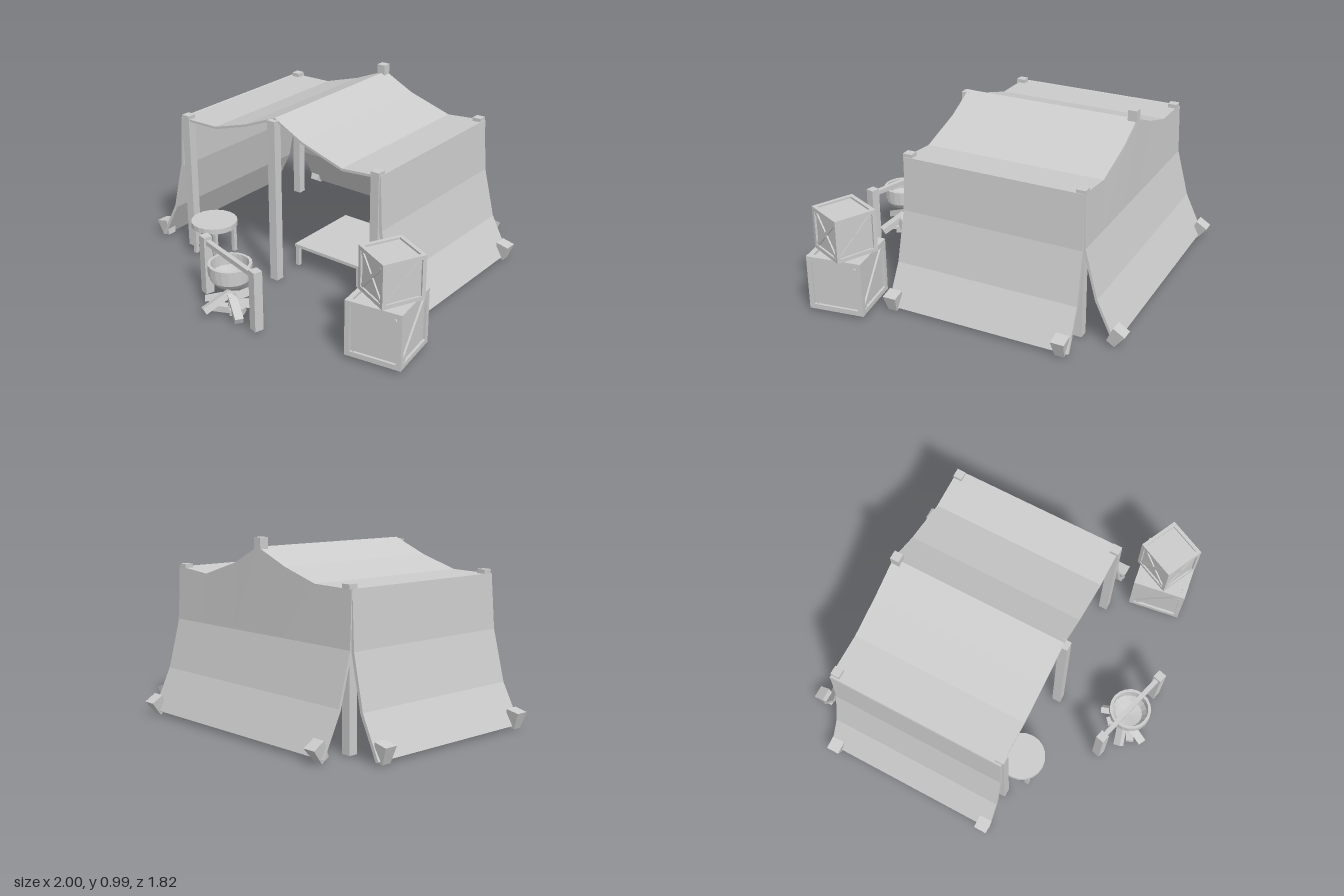
import * as THREE from 'three';

const mat = new THREE.MeshStandardMaterial({ color: 0xcccccc, flatShading: true, side: THREE.DoubleSide });

function add(parent, name, geo, x = 0, y = 0, z = 0) {
  const m = new THREE.Mesh(geo, mat);
  m.name = name;
  m.position.set(x, y, z);
  parent.add(m);
  return m;
}
const box = (parent, name, w, h, d, x, y, z) => add(parent, name, new THREE.BoxGeometry(w, h, d), x, y, z);

function group(parent, name, x = 0, y = 0, z = 0, ry = 0) {
  const g = new THREE.Group();
  g.name = name;
  g.position.set(x, y, z);
  g.rotation.y = ry;
  parent.add(g);
  return g;
}

// Thick cloth strip: a polyline, its offset copy, extruded
function cloth(points, dx, dy, depth, steps = 1) {
  const inner = points.map(([x, y]) => [x + dx, y + dy]).reverse();
  const shape = new THREE.Shape([...points, ...inner].map(p => new THREE.Vector2(...p)));
  return new THREE.ExtrudeGeometry(shape, { depth, steps, bevelEnabled: false });
}

function moveVertices(geo, rule) {
  const p = geo.attributes.position, v = new THREE.Vector3();
  for (let i = 0; i < p.count; i++) {
    v.fromBufferAttribute(p, i);
    rule(v);
    p.setXYZ(i, v.x, v.y, v.z);
  }
  geo.computeVertexNormals();
  return geo;
}

const ROOF = [[-0.77, 0.797], [-0.51, 0.802], [-0.29, 0.867], [-0.08, 0.952], [0.1, 0.862], [0.36, 0.782], [0.6, 0.803]];
const MID = -0.085;   // tent centre in x
const ZC = -0.18;     // tent centre in z

function buildTent(root) {
  const tent = group(root, 'tent');
  add(tent, 'roofCloth', cloth(ROOF, 0, -0.014, 1, 1), 0, 0, ZC - 0.5);

  // Side walls flare outward and widen slightly toward the ground
  for (const s of [-1, 1]) {
    const wall = [[0.685, 0.8], [0.703, 0.51], [0.768, 0.235], [0.875, 0.025]].map(([x, y]) => [MID + s * x, y]);
    const geo = moveVertices(cloth(wall, -s * 0.016, -0.008, 1), v => {
      v.z = (v.z - 0.5) * (1 + 0.035 * (1 - v.y / 0.8));
    });
    add(tent, s < 0 ? 'rightWall' : 'leftWall', geo, 0, 0, ZC);
  }

  // Back wall: its top edge follows the sagging roof
  const back = cloth([[-0.685, 0.8], [-0.695, 0.515], [-0.765, 0.25], [-0.87, 0.03]], 0.012, -0.008, 6, 6);
  back.rotateY(-Math.PI / 2);
  moveVertices(back, v => {
    const [x, top] = ROOF[6 - Math.round(-v.x)];
    v.x = x;
    if (v.y > 0.7) v.y += top - 0.802;
  });
  add(tent, 'backWall', back);

  // Poles: x, z, height
  const poles = [[-0.73, 0.305, 0.82], [0.57, 0.305, 0.82], [-0.73, -0.66, 0.82], [0.57, -0.66, 0.82],
    [-0.083, 0.325, 0.942], [-0.083, -0.66, 1.0]];
  for (const [x, z, h] of poles) box(tent, 'pole', 0.05, h - 0.01, 0.05, x, (h + 0.01) / 2, z);

  // Tapered pegs leaning away from the cloth: x, z, outward direction
  const pegs = [[-0.955, 0.305, -1, 0], [-0.955, -0.655, -1, 0], [0.785, 0.305, 1, 0], [0.785, -0.655, 1, 0],
    [-0.735, -0.865, 0, -1], [0.575, -0.865, 0, -1]];
  for (const [x, z, ox, oz] of pegs) {
    const geo = new THREE.CylinderGeometry(0.052, 0.036, 0.092, 4).rotateY(Math.PI / 4);
    const tilt = oz ? 0.55 : 0.22;
    add(tent, 'peg', geo, x, 0.06, z).rotation.set(oz * tilt, 0, -ox * tilt);
  }
}

function buildFurniture(root) {
  // Round stool
  const stool = group(root, 'stool', -0.545, 0, 0.327);
  add(stool, 'stoolSeat', new THREE.CylinderGeometry(0.132, 0.132, 0.03, 20), 0, 0.215, 0);
  // Low table
  const table = group(root, 'table', 0.145, 0, -0.065);
  box(table, 'tableTop', 0.45, 0.018, 0.47, 0, 0.151, 0);
  for (const sx of [-1, 1]) for (const sz of [-1, 1]) {
    box(stool, 'stoolLeg', 0.022, 0.175, 0.022, sx * 0.077, 0.117, sz * 0.077);
    box(table, 'tableLeg', 0.022, 0.115, 0.022, sx * 0.21, 0.087, sz * 0.22);
  }
}

function buildCampfire(root) {
  const fire = group(root, 'campfire', -0.035, 0, 0.745, -0.27);
  for (const s of [-1, 1]) box(fire, 'spitPost', 0.05, 0.335, 0.05, s * 0.24, 0.187, 0);
  box(fire, 'spitBeam', 0.5, 0.026, 0.026, 0, 0.323, 0);

  // Open pot
  const profile = [[0, 0.166], [0.05, 0.168], [0.085, 0.185], [0.106, 0.212], [0.106, 0.238], [0.116, 0.24],
    [0.116, 0.296], [0.1, 0.296], [0.098, 0.235], [0.075, 0.2], [0, 0.185]];
  add(fire, 'pot', new THREE.LatheGeometry(profile.map(p => new THREE.Vector2(...p)), 20));

  // Logs leaning in toward the middle
  const angles = [0.3, 1.85, 2.85, 4.6, 5.6];
  angles.forEach((a, i) => {
    const arm = group(fire, 'logArm', 0, 0, 0, -a);
    const log = box(arm, 'log', 0.17, 0.036, 0.045, 0.075, 0.07 + (i % 2) * 0.012, 0);
    log.rotation.set(i * 0.3, 0, -0.45);
  });
  box(fire, 'baseLog', 0.2, 0.035, 0.045, 0, 0.04, 0.03).rotation.y = 0.7;
  box(fire, 'baseLog', 0.2, 0.035, 0.045, 0, 0.05, -0.02).rotation.y = -0.6;
}

// Framed crate with one diagonal or a cross on its sides
function buildCrate(root, size, x, y, z, ry, crossed) {
  const crate = group(root, 'crate', x, y + size / 2, z, ry);
  const h = size / 2, f = size * 0.09, inset = size * 0.045, span = size - 2 * f;
  box(crate, 'cratePanels', size - 2 * inset, size - 2 * inset, size - 2 * inset, 0, 0, 0);
  const e = h - f / 2;
  for (const a of [-e, e]) for (const b of [-e, e]) {
    box(crate, 'frameRail', size, f, f, 0, a, b);
    box(crate, 'framePost', f, span, f, a, 0, b);
    box(crate, 'frameRail', f, f, span, a, b, 0);
  }
  for (let i = 0; i < 4; i++) {
    const face = group(crate, 'crateSide', 0, 0, 0, i * Math.PI / 2);
    for (const s of crossed ? [-1, 1] : [1]) {
      box(face, 'brace', span * 1.32, f * 0.9, inset * 1.4, 0, 0, h - inset * 0.95).rotation.z = s * Math.PI / 4;
    }
  }
}

export function createModel() {
  const root = new THREE.Group();
  root.name = 'camp';
  buildTent(root);
  buildFurniture(root);
  buildCampfire(root);
  buildCrate(root, 0.305, 0.822, 0.027, 0.56, 0.15, false);
  buildCrate(root, 0.237, 0.836, 0.332, 0.548, -0.44, true);
  return root;
}
